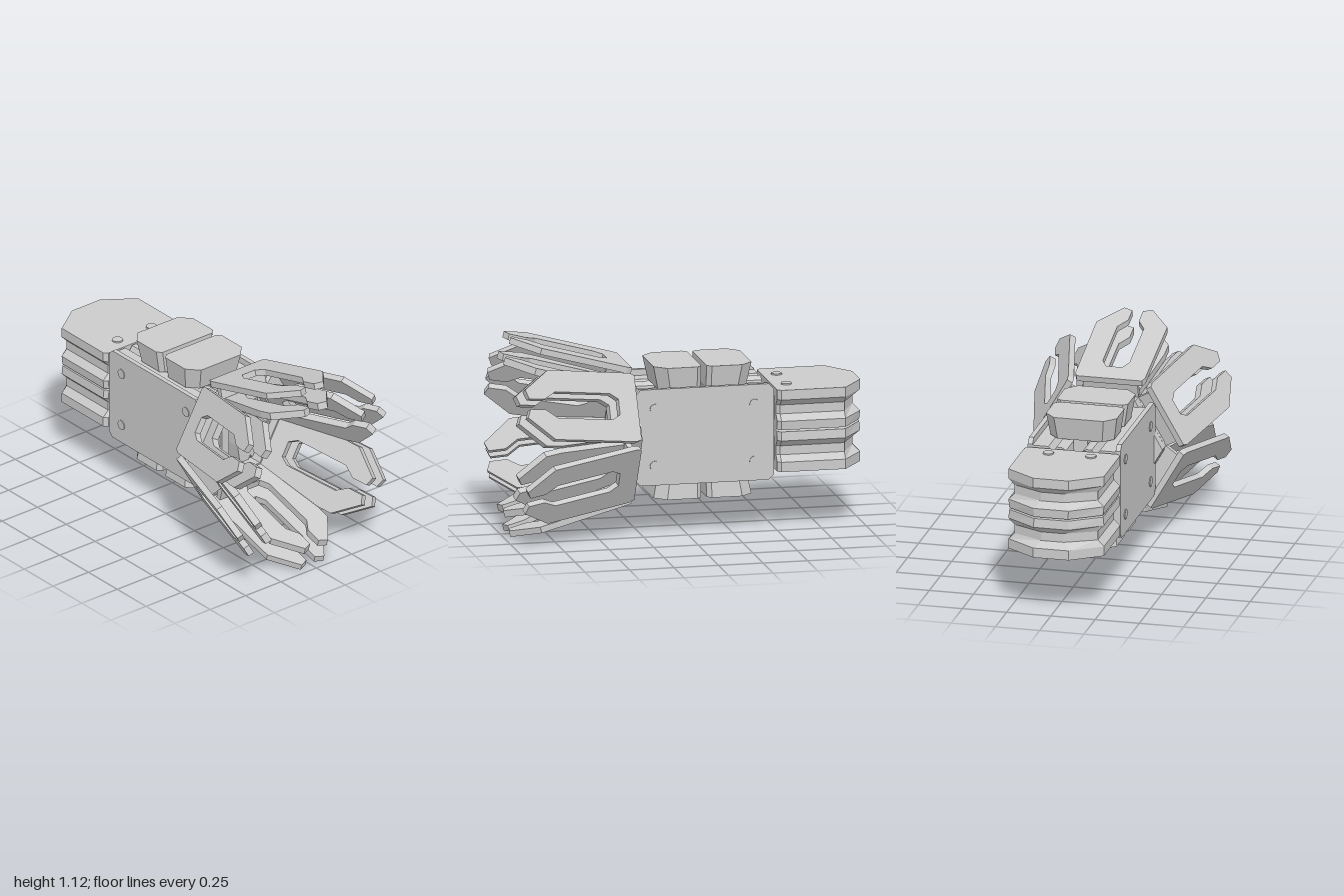
import * as THREE from 'three';

const mat = new THREE.MeshStandardMaterial({ color: 0xcccccc, flatShading: true });

function mesh(name, geo, x = 0, y = 0, z = 0) {
  const m = new THREE.Mesh(geo, mat);
  m.name = name;
  m.position.set(x, y, z);
  return m;
}
const box = (name, w, h, d, x, y, z) => mesh(name, new THREE.BoxGeometry(w, h, d), x, y, z);
const poly = pts => new THREE.Shape(pts.map(p => new THREE.Vector2(...p)));
const extrude = (shape, depth) => new THREE.ExtrudeGeometry(shape, { depth, bevelEnabled: false });

// Solid from stacked rings of [x, y, z], each counter-clockwise seen from above
function loft(rings) {
  const pos = [], n = rings[0].length;
  const tri = (a, b, c) => pos.push(...a, ...b, ...c);
  for (let r = 0; r < rings.length - 1; r++) {
    for (let i = 0; i < n; i++) {
      const j = (i + 1) % n, lo = rings[r], hi = rings[r + 1];
      tri(lo[i], lo[j], hi[j]);
      tri(lo[i], hi[j], hi[i]);
    }
  }
  const bottom = rings[0], top = rings[rings.length - 1];
  for (let i = 1; i < n - 1; i++) {
    tri(bottom[0], bottom[i + 1], bottom[i]);
    tri(top[0], top[i], top[i + 1]);
  }
  const g = new THREE.BufferGeometry();
  g.setAttribute('position', new THREE.Float32BufferAttribute(pos, 3));
  g.computeVertexNormals();
  return g;
}

// Slotted blade: right-hand edge is mirrored to the left
function bladeShape(base) {
  const half = [
    ...base, [0.2, 0.53], [0.08, 0.685], [0.03, 0.665], [0.03, 0.57],
    [0.075, 0.5], [0.075, 0.165], [0.045, 0.115],
  ];
  return poly([...half, ...half.map(([x, y]) => [-x, y]).reverse()]);
}

// One petal on the top of the ring: two parallel blades joined by a base wall
function petal() {
  const g = new THREE.Group();
  g.name = 'petal';
  const a = 0.267, s = Math.sin(a), c = Math.cos(a);
  const tilt = new THREE.Group();
  tilt.name = 'petalBlades';
  tilt.applyMatrix4(new THREE.Matrix4().makeBasis(
    new THREE.Vector3(1, 0, 0), new THREE.Vector3(0, s, c), new THREE.Vector3(0, -c, s)
  ).setPosition(0, 0.38, 0.3));
  tilt.add(
    mesh('outerBlade', extrude(bladeShape([[0.185, 0], [0.197, 0.03]]), 0.035)),
    mesh('innerBlade', extrude(bladeShape([[0.133, 0], [0.2, 0.44]]), 0.04), 0, 0, 0.115),
    box('baseWall', 0.31, 0.03, 0.09, 0, 0.03, 0.075),
  );
  g.add(tilt);
  return g;
}

// Paddle with a pinched waist, upper half of the stack
function paddle() {
  const outline = [
    [0.27, -0.52], [0.27, -0.88], [0.1, -1], [-0.1, -1],
    [-0.27, -0.88], [-0.27, -0.52], [-0.25, -0.5], [0.25, -0.5],
  ];
  const levels = [[0.005, 0.005], [0.055, 0], [0.09, 0.035], [0.14, 0.035], [0.175, 0], [0.23, 0]];
  return loft(levels.map(([y, k]) => outline.map(([x, z]) => [
    x - Math.sign(x) * k, y, z < -0.9 ? z + k : z,
  ])));
}

// Chamfered block that narrows towards its underside
function padBlock() {
  const outline = [
    [0.2, 0.21], [0.2, 0.04], [0.175, 0.015], [-0.175, 0.015],
    [-0.2, 0.04], [-0.2, 0.21], [-0.14, 0.275], [0.14, 0.275],
  ];
  return loft([[0.24, 0.9], [0.37, 1]].map(([y, k]) =>
    outline.map(([x, z]) => [x * k, y, z > 0.1 ? z * k : z])));
}

function roundedPanel(x0, y0, x1, y1, r) {
  const p = new THREE.Path();
  p.absarc(x1 - r, y1 - r, r, 0, Math.PI / 2);
  p.absarc(x0 + r, y1 - r, r, Math.PI / 2, Math.PI);
  p.absarc(x0 + r, y0 + r, r, Math.PI, Math.PI * 1.5);
  p.absarc(x1 - r, y0 + r, r, Math.PI * 1.5, Math.PI * 2);
  p.closePath();
  return p;
}

// Body side: cover plate with screws, inner rail, recessed front frame
function bodySide() {
  const g = new THREE.Group();
  g.name = 'bodySide';
  const w = 0.39, h = 0.27, c = 0.03;
  const plate = extrude(poly([
    [w, h - c], [w - c, h], [c - w, h], [-w, h - c],
    [-w, c - h], [c - w, -h], [w - c, -h], [w, c - h],
  ]), 0.027);
  plate.rotateY(Math.PI / 2);
  g.add(mesh('sidePlate', plate, 0.235, 0, -0.09));
  for (const z of [0.19, -0.37]) for (const y of [0.16, -0.16]) {
    const screw = new THREE.CylinderGeometry(0.028, 0.028, 0.01, 16);
    screw.rotateZ(Math.PI / 2);
    g.add(mesh('sideScrew', screw, 0.262, y, z));
  }
  const section = [
    [0.03, -0.12], [0.045, -0.22], [0.07, -0.235], [0.1, -0.235], [0.12, -0.2], [0.145, -0.235], [0.235, -0.235],
    [0.235, 0.235], [0.145, 0.235], [0.12, 0.2], [0.1, 0.235], [0.07, 0.235], [0.045, 0.22], [0.03, 0.12],
  ];
  const frame = poly(section);
  frame.holes.push(roundedPanel(0.08, -0.165, 0.168, 0.165, 0.025));
  g.add(
    mesh('innerRail', extrude(poly(section), 0.74), 0, 0, -0.48),
    mesh('frontFrame', extrude(frame, 0.02), 0, 0, 0.26),
  );
  return g;
}

// Upper half: paddle with its mounts and screws, two blocks with their cores
function halfStack() {
  const g = new THREE.Group();
  g.name = 'halfStack';
  g.add(mesh('paddle', paddle()));
  for (const x of [-0.12, 0.12]) {
    g.add(mesh('paddleScrew', new THREE.CylinderGeometry(0.03, 0.03, 0.012, 16), x, 0.232, -0.58));
    g.add(box('paddleMount', 0.12, 0.13, 0.08, x, 0.115, -0.49));
  }
  for (const turn of [0, Math.PI]) {
    const pad = new THREE.Group();
    pad.name = turn ? 'rearBlock' : 'frontBlock';
    pad.add(mesh('block', padBlock()), box('blockCore', 0.08, 0.24, 0.21, 0, 0.125, 0.125));
    pad.position.z = -0.105;
    pad.rotation.y = turn;
    g.add(pad);
  }
  return g;
}

export function createModel() {
  const root = new THREE.Group();
  root.name = 'model';
  const body = new THREE.Group();
  body.name = 'assembly';
  body.position.y = 0.56;
  root.add(body);

  // Mirror-like pairs made by half turns
  for (const turn of [0, Math.PI]) {
    for (const part of [bodySide(), halfStack()]) {
      part.rotation.z = turn;
      body.add(part);
    }
  }

  // Hexagonal collar behind the petals
  const hex = r => Array.from({ length: 6 }, (_, i) => [
    r * Math.cos(i * Math.PI / 3), r * Math.sin(i * Math.PI / 3),
  ]);
  const collar = poly(hex(0.31));
  collar.holes.push(poly(hex(0.26)));
  body.add(mesh('collar', extrude(collar, 0.08), 0, 0, 0.27));

  // Six petals around the axis
  for (let i = 0; i < 6; i++) {
    const p = petal();
    p.rotation.z = i * Math.PI / 3;
    body.add(p);
  }
  return root;
}
